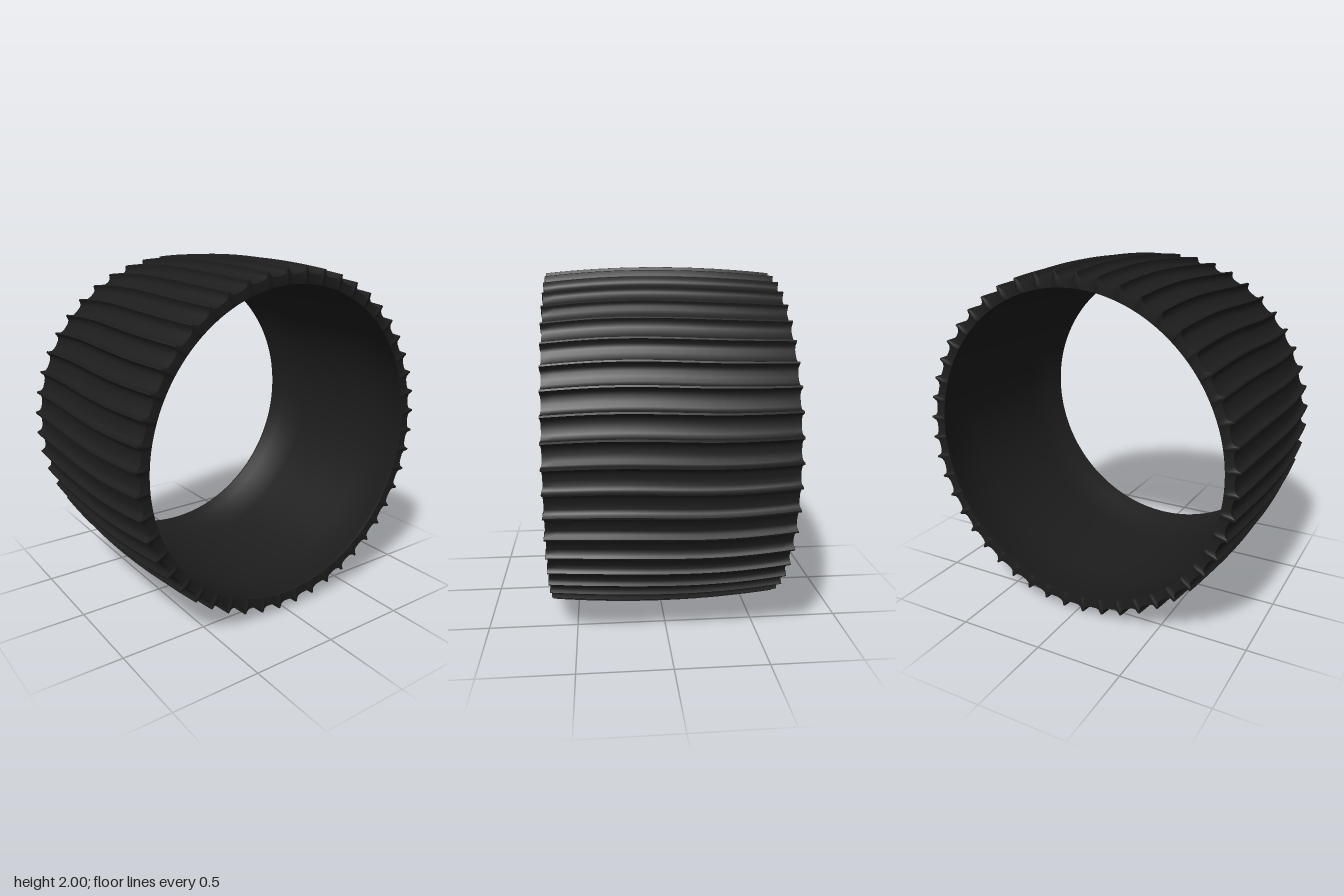
import * as THREE from 'three';
import { toCreasedNormals } from 'three/addons/utils/BufferGeometryUtils.js';

const RIBS = 48, HALF = 0.64, ROWS = 20, RIB_HEIGHT = 0.035, END_INSET = 0.007;
const STEP = (Math.PI * 2) / RIBS;

// One thin rib with wide soft flanks: [angle from the rib's centre, share of rib height]
const RIB = [
  [-STEP / 2, 0], [-0.036, 0.05], [-0.017, 0.28], [-0.009, 0.7], [-0.005, 1],
  [0.005, 1], [0.009, 0.7], [0.017, 0.28], [0.036, 0.05],
];

// Closed profile along the width: crowned tread, end walls with bead lips, hollow inside
function bandProfile() {
  const rows = [];
  for (let i = 0; i <= ROWS; i++) {
    const t = (i / ROWS) * 2 - 1;
    rows.push({ z: t * HALF, r: 1 - 0.034 * t * t, height: RIB_HEIGHT });
  }
  const inner = [
    [HALF, 0.905], [0.632, 0.88], [0.615, 0.88], [0.56, 0.91], [0.3, 0.921], [0, 0.925],
    [-0.3, 0.921], [-0.56, 0.91], [-0.615, 0.88], [-0.632, 0.88], [-HALF, 0.905],
  ];
  for (const [z, r] of inner) rows.push({ z, r, height: 0 });
  return rows;
}

function bandGeometry() {
  const rows = bandProfile();
  const around = RIBS * RIB.length;
  const positions = [], index = [];
  rows.forEach(({ z, r, height }, i) => {
    // Ribs sway gently across the width and wrap over the end walls
    const sway = 0.008 * Math.sin((Math.PI * z) / 0.62);
    const inset = Math.abs(z) === HALF ? END_INSET * Math.sign(z) : 0;
    for (let j = 0; j < around; j++) {
      const [offset, share] = RIB[j % RIB.length];
      const a = (Math.floor(j / RIB.length) + 0.5) * STEP + offset + sway;
      const radius = r - height * (1 - share);
      positions.push(radius * Math.cos(a), radius * Math.sin(a), z - inset * (1 - share));

      const i2 = (i + 1) % rows.length, j2 = (j + 1) % around;
      const p = i * around + j, q = i * around + j2;
      const s = i2 * around + j, t = i2 * around + j2;
      index.push(p, q, s, q, t, s);
    }
  });
  const geometry = new THREE.BufferGeometry();
  geometry.setAttribute('position', new THREE.Float32BufferAttribute(positions, 3));
  geometry.setIndex(index);
  return toCreasedNormals(geometry, 1);
}

export function createModel() {
  const rubber = new THREE.MeshStandardMaterial({ color: 0x1d1d1d });
  rubber.name = 'black rubber';

  const group = new THREE.Group();
  group.name = 'ribbedTyre';

  const band = new THREE.Mesh(bandGeometry(), rubber);
  band.name = 'ribbedBand';
  band.position.y = 1;
  group.add(band);
  return group;
}
